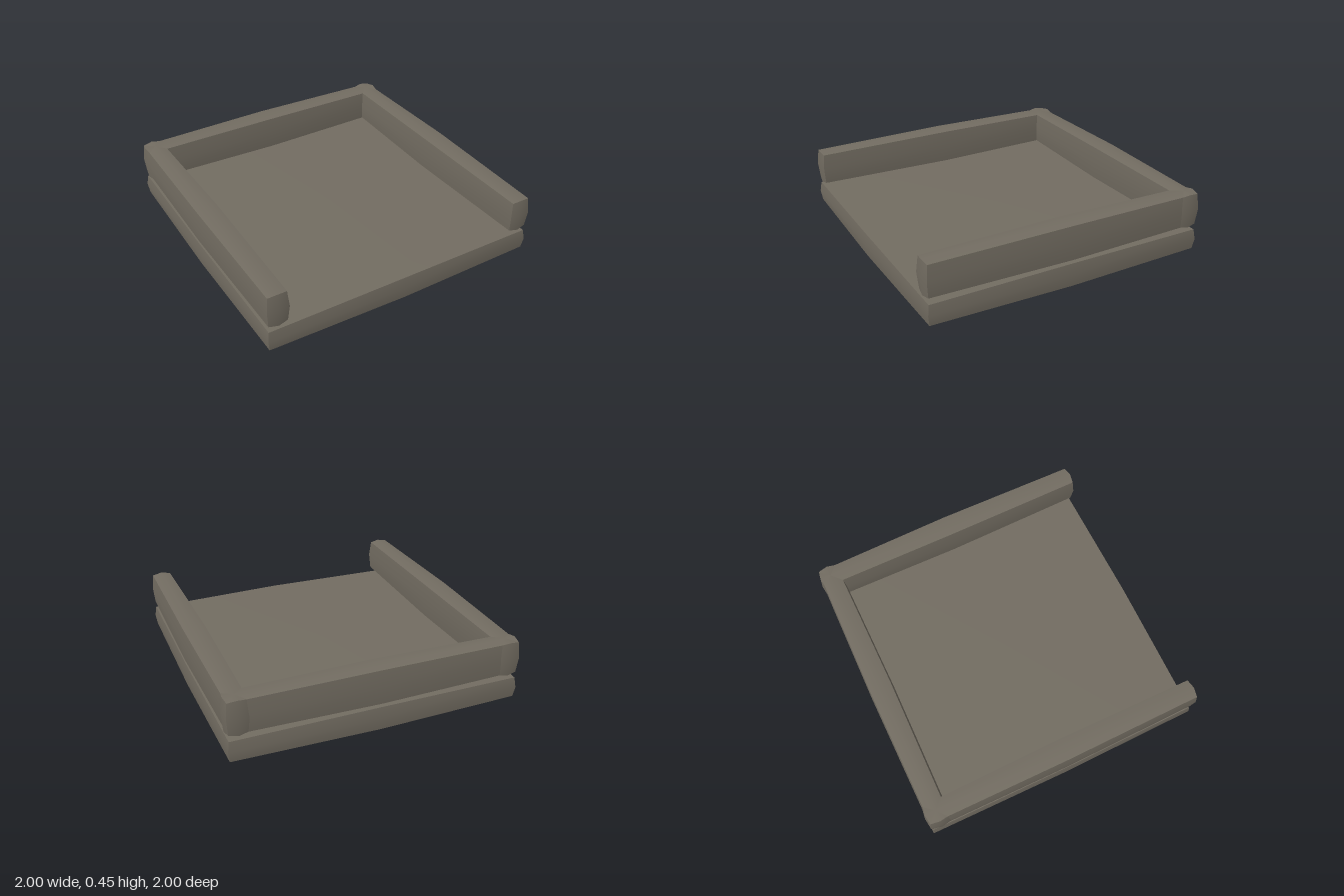
import * as THREE from 'three';

const stone = new THREE.MeshStandardMaterial({ color: 0x726c61 });
stone.name = 'warm grey';

// Box whose faces swell outwards: edges by half the bulge, face centres by all of it
function pillowBox(name, [x0, x1], [y0, y1], [z0, z1], bulge = 0.02) {
  const half = new THREE.Vector3(x1 - x0, y1 - y0, z1 - z0).multiplyScalar(0.5);
  const geometry = new THREE.BoxGeometry(2, 2, 2, 2, 2, 2);
  const pos = geometry.attributes.position;
  const swell = (a, b, c) => Math.sign(a) * bulge * (1 - (Math.abs(b) + Math.abs(c)) / 2);
  for (let i = 0; i < pos.count; i++) {
    const x = pos.getX(i), y = pos.getY(i), z = pos.getZ(i);
    pos.setXYZ(i,
      x * half.x + swell(x, y, z),
      y * half.y + swell(y, x, z),
      z * half.z + swell(z, x, y));
  }
  geometry.computeVertexNormals(); // smooth within each face, sharp at the edges
  const mesh = new THREE.Mesh(geometry, stone);
  mesh.name = name;
  mesh.position.set((x0 + x1) / 2, (y0 + y1) / 2, (z0 + z1) / 2);
  return mesh;
}

export function createModel() {
  const group = new THREE.Group();
  group.name = 'railedPlatform';

  // Floor slab
  group.add(pillowBox('baseSlab', [-0.98, 0.98], [0.02, 0.163], [-0.98, 0.98]));

  // Three walls floating just above the slab, open at the front
  const wallHeight = [0.207, 0.427];
  group.add(pillowBox('backWall', [-0.98, 0.98], wallHeight, [-0.98, -0.85]));
  group.add(pillowBox('leftWall', [0.85, 0.98], wallHeight, [-0.98, 0.98]));
  group.add(pillowBox('rightWall', [-0.98, -0.85], wallHeight, [-0.98, 0.98]));

  return group;
}
